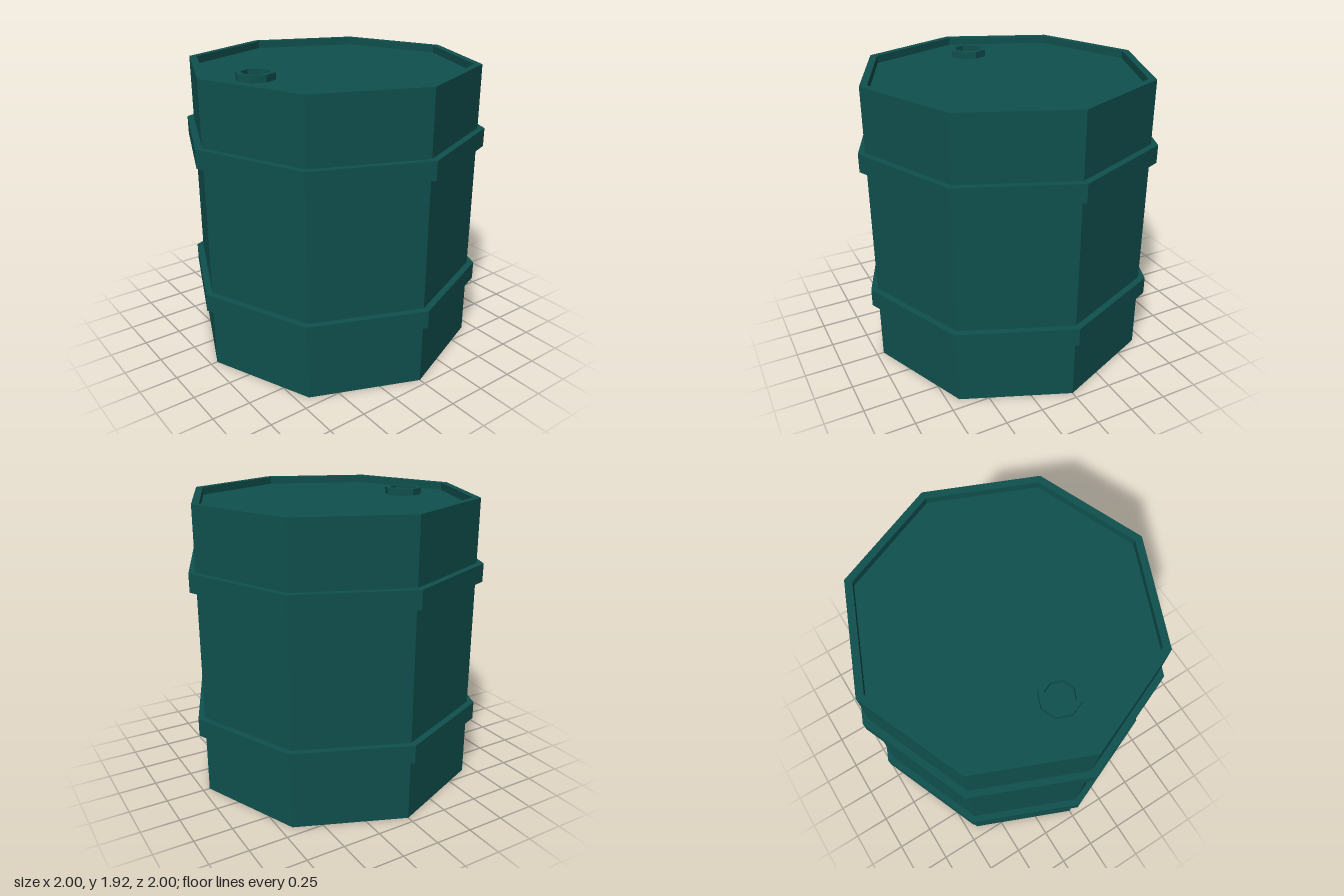
import * as THREE from 'three';

const SIDES = 8;

const steelPaint = new THREE.MeshStandardMaterial({ color: 0x0f504e });
steelPaint.name = 'dark teal paint';

// Faceted solid of revolution; the [radius, y] profile runs up the outside
function faceted(name, profile) {
  const points = profile.map(([r, y]) => new THREE.Vector2(r, y));
  const geometry = new THREE.LatheGeometry(points, SIDES).toNonIndexed();
  geometry.computeVertexNormals();
  const mesh = new THREE.Mesh(geometry, steelPaint);
  mesh.name = name;
  return mesh;
}

export function createModel() {
  const group = new THREE.Group();
  group.name = 'barrel';

  const height = 1.917, radius = 0.955, rimRadius = 0.905, recess = 0.05;
  const lidY = height - recess;

  // Body with a raised rim around the sunken lid and base
  group.add(faceted('body', [
    [0, recess], [rimRadius, recess], [rimRadius, 0], [radius, 0],
    [radius, height], [rimRadius, height], [rimRadius, lidY], [0, lidY],
  ]));

  // Two hoops around the body
  [['lowerHoop', 0.412], ['upperHoop', 1.384]].forEach(([name, y]) => {
    const top = y + 0.12;
    group.add(faceted(name, [[radius, y], [1, y], [1, top], [radius, top]]));
  });

  // Filler cap with a hollow centre
  const cap = faceted('fillerCap', [
    [0.125, 0], [0.125, 0.045], [0.092, 0.045], [0.092, 0.005], [0, 0.005],
  ]);
  cap.position.set(-0.57, lidY, 0);
  group.add(cap);

  return group;
}
